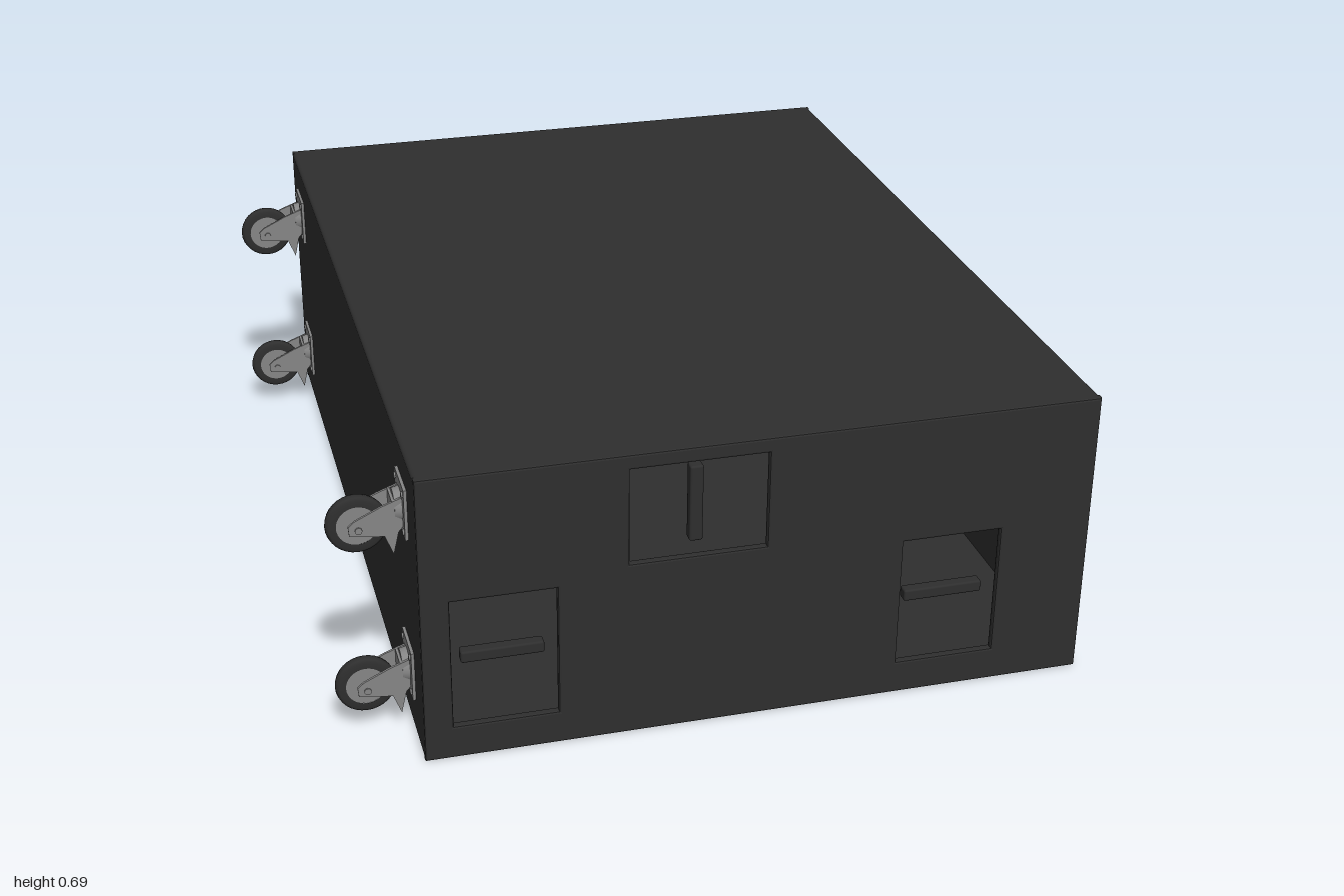
import * as THREE from 'three';
import { RoundedBoxGeometry } from 'three/addons/geometries/RoundedBoxGeometry.js';

const caseBlack = new THREE.MeshStandardMaterial({ color: 0x2e2e2e });
const casterGrey = new THREE.MeshStandardMaterial({ color: 0x868686 });

const X0 = -0.685, X1 = 0.845, H = 0.695, T = 0.02;

function add(parent, name, geometry, material, x = 0, y = 0, z = 0) {
  const m = new THREE.Mesh(geometry, material);
  m.name = name;
  m.position.set(x, y, z);
  parent.add(m);
  return m;
}

// Rounded board given by its min and max corners
function board(parent, name, [ax, ay, az], [bx, by, bz], radius = 0.008) {
  const g = new RoundedBoxGeometry(bx - ax, by - ay, bz - az, 2, radius);
  return add(parent, name, g, caseBlack, (ax + bx) / 2, (ay + by) / 2, (az + bz) / 2);
}

// Handle openings [x0, y0, x1, y1] and the grip bar in each
const openings = [
  { hole: [-0.62, 0.08, -0.385, 0.395], bar: [-0.595, 0.222, -0.41, 0.25] },
  { hole: [0.4, 0.08, 0.63, 0.395], bar: [0.42, 0.222, 0.605, 0.25] },
  { hole: [-0.227, 0.43, 0.082, 0.66], bar: [-0.087, 0.452, -0.057, 0.635] },
];

function rectPath(path, [x0, y0, x1, y1]) {
  path.moveTo(x0, y0);
  path.lineTo(x1, y0);
  path.lineTo(x1, y1);
  path.lineTo(x0, y1);
  path.closePath();
  return path;
}

// End wall with three cut-outs, lightly bevelled
function endWallGeometry() {
  const shape = rectPath(new THREE.Shape(), [X0, 0, X1, H]);
  for (const o of openings) shape.holes.push(rectPath(new THREE.Path(), o.hole));
  const b = 0.005;
  const g = new THREE.ExtrudeGeometry(shape, {
    depth: T - 2 * b, bevelEnabled: true, bevelSize: b, bevelThickness: b,
    bevelOffset: -b, bevelSegments: 2,
  });
  return g.translate(0, 0, -T / 2 + b);
}

// Fork cheek outline relative to the wheel axle
function forkGeometry() {
  const s = new THREE.Shape([
    [-0.02, -0.012], [0.055, -0.022], [0.073, -0.068], [0.085, -0.015], [0.098, 0],
    [0.098, 0.068], [0.05, 0.05], [-0.008, 0.022], [-0.022, 0.01],
  ].map(p => new THREE.Vector2(...p)));
  return new THREE.ExtrudeGeometry(s, { depth: 0.006, bevelEnabled: false }).translate(0, 0, -0.003);
}

function tyreGeometry() {
  const pts = [[0.045, -0.013], [0.06, -0.013], [0.066, -0.009], [0.068, 0], [0.066, 0.009],
    [0.06, 0.013], [0.045, 0.013]].map(p => new THREE.Vector2(...p));
  return new THREE.LatheGeometry(pts, 32).rotateX(Math.PI / 2);
}

// Swivel caster: origin on the wheel axle, mounting plate towards +x
function makeCaster() {
  const g = new THREE.Group();
  g.name = 'caster';
  add(g, 'mountingPlate', new THREE.BoxGeometry(0.008, 0.12, 0.115), casterGrey, 0.099, 0.035, 0);
  add(g, 'swivelRing', new THREE.CylinderGeometry(0.036, 0.04, 0.018, 24).rotateZ(Math.PI / 2),
    casterGrey, 0.088, 0.035, 0);
  add(g, 'forkCrown', new THREE.BoxGeometry(0.014, 0.06, 0.066), casterGrey, 0.08, 0.03, 0);
  const fork = forkGeometry();
  for (const s of [-1, 1]) {
    add(g, 'forkCheek', fork, casterGrey, 0, 0, s * 0.031);
    for (const y of [-0.01, 0.08]) {
      add(g, 'plateBolt', new THREE.CylinderGeometry(0.007, 0.007, 0.006, 6).rotateZ(Math.PI / 2),
        casterGrey, 0.094, y, s * 0.045);
    }
  }
  add(g, 'tyre', tyreGeometry(), caseBlack);
  add(g, 'wheelDisc', new THREE.CylinderGeometry(0.046, 0.046, 0.022, 32).rotateX(Math.PI / 2), casterGrey);
  add(g, 'axle', new THREE.CylinderGeometry(0.008, 0.008, 0.075, 12).rotateX(Math.PI / 2), casterGrey);
  return g;
}

export function createModel() {
  const root = new THREE.Group();
  root.name = 'rollingCase';

  // Hollow case
  board(root, 'topBoard', [X0, H - T, -1], [X1, H, 1]);
  board(root, 'bottomBoard', [X0, 0, -1], [X1, T, 1]);
  board(root, 'casterWall', [X0, 0, -1], [X0 + T, H, 1]);
  add(root, 'recessedPanel', new THREE.BoxGeometry(T, H - 0.02, 1.98), caseBlack, X1 - 0.008 - T / 2, H / 2, 0);

  // Both end walls with their grip bars
  const wall = endWallGeometry();
  for (const s of [1, -1]) {
    add(root, s > 0 ? 'frontWall' : 'backWall', wall, caseBlack, 0, 0, s * (1 - T / 2));
    for (const { bar: [x0, y0, x1, y1] } of openings) {
      board(root, 'gripBar', [x0, y0, s * 0.96 - 0.014], [x1, y1, s * 0.96 + 0.014], 0.005);
    }
  }

  // Four casters on the side wall
  for (const z of [-0.842, 0.842]) {
    for (const y of [0.12, 0.525]) {
      const c = makeCaster();
      c.position.set(-0.787, y, z);
      root.add(c);
    }
  }
  return root;
}
